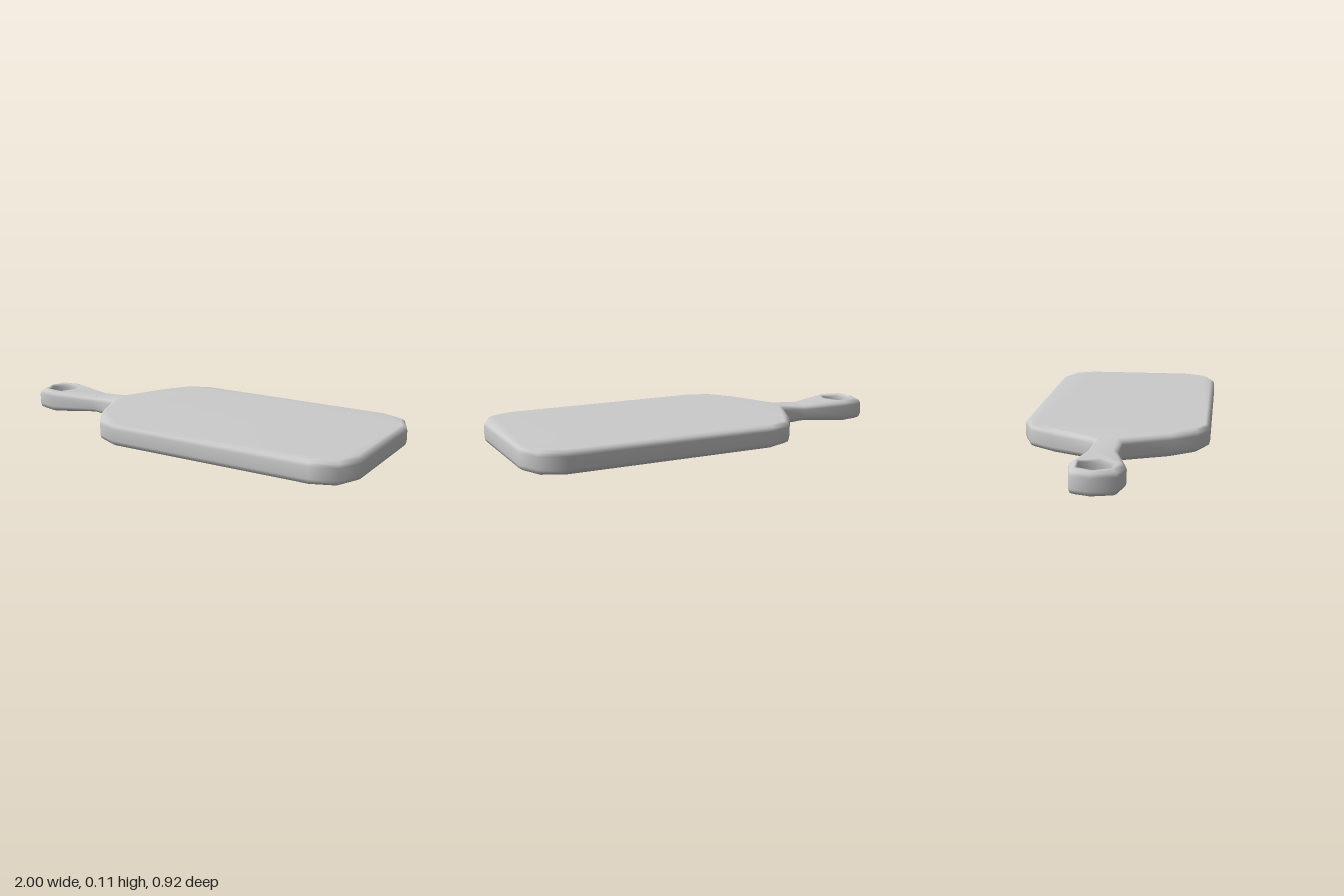
import * as THREE from 'three';

// Board outline seen from above as [x, z], clockwise, starting at the back of the neck
const OUTLINE = [
  [-0.5, -0.06], [-0.4, -0.28], [-0.32, -0.4], [-0.2, -0.45], [0.82, -0.46], [0.94, -0.41], [0.99, -0.3],
  [1, 0.27], [0.95, 0.39], [0.83, 0.44], [-0.2, 0.455], [-0.31, 0.405], [-0.4, 0.285], [-0.5, 0.07],
  [-0.63, 0.07], [-0.86, 0.135], [-0.97, 0.11], [-1, 0], [-0.975, -0.09], [-0.86, -0.112], [-0.63, -0.07],
];
// Hanging hole, listed the other way round
const HOLE = [[-0.96, 0.01], [-0.93, 0.075], [-0.84, 0.083], [-0.81, 0.01], [-0.84, -0.07], [-0.93, -0.06]];
// Rounded edge as [inset, height]
const EDGE = [[0.024, 0], [0.006, 0.01], [0, 0.028], [0, 0.083], [0.006, 0.1], [0.024, 0.11]];
const MID = 0.055;

// The handle is thinnest halfway along
const thickness = (x) => 1 - 0.27 * Math.max(0, 1 - Math.abs(x + 0.63) / 0.17);

// Moves every corner into the wood by the same distance from its two edges
function inset(points, amount) {
  const n = points.length;
  return points.map((p, i) => {
    const here = new THREE.Vector2(...p);
    const a = here.clone().sub(new THREE.Vector2(...points[(i + n - 1) % n])).normalize();
    const b = new THREE.Vector2(...points[(i + 1) % n]).sub(here).normalize();
    const m = new THREE.Vector2(-a.y - b.y, a.x + b.x);
    return here.addScaledVector(m, amount / (1 + a.dot(b)));
  });
}

function boardGeometry() {
  const positions = [];
  const index = [];

  // Stacked rings joined into a wall; returns the first index of each ring
  function wall(points, insetScale) {
    const n = points.length;
    const starts = EDGE.map(([d, y]) => {
      const start = positions.length / 3;
      for (const p of inset(points, d * insetScale)) {
        positions.push(p.x, MID + (y - MID) * thickness(p.x), p.y);
      }
      return start;
    });
    for (let r = 0; r < starts.length - 1; r++) {
      for (let i = 0; i < n; i++) {
        const j = (i + 1) % n;
        const a = starts[r] + i, b = starts[r] + j;
        const c = starts[r + 1] + j, d = starts[r + 1] + i;
        index.push(a, c, b, a, d, c);
      }
    }
    return starts;
  }

  // Fills one region of the top or bottom face
  function cap(contour, hole, up) {
    const point = (k) => new THREE.Vector2(positions[3 * k], positions[3 * k + 2]);
    const ids = [...contour, ...hole];
    const faces = THREE.ShapeUtils.triangulateShape(contour.map(point), hole.length ? [hole.map(point)] : []);
    for (const face of faces) {
      const [a, b, c] = face.map((f) => ids[f]);
      const [pa, pb, pc] = [a, b, c].map(point);
      const facesUp = pb.sub(pa).cross(pc.sub(pa)) < 0;
      if (facesUp === up) index.push(a, b, c);
      else index.push(a, c, b);
    }
  }

  const outer = wall(OUTLINE, 1);
  const inner = wall(HOLE, 0.3);
  const range = (from, to) => Array.from({ length: to - from + 1 }, (_, i) => from + i);
  for (const ring of [0, EDGE.length - 1]) {
    const up = ring > 0;
    const o = (list) => list.map((i) => outer[ring] + i);
    cap(o(range(0, 13)), [], up); // blade of the board
    cap(o([20, 0, 13, 14]), [], up); // neck
    cap(o(range(14, 20)), HOLE.map((_, i) => inner[ring] + i), up); // handle end
  }

  const geometry = new THREE.BufferGeometry();
  geometry.setAttribute('position', new THREE.Float32BufferAttribute(positions, 3));
  geometry.setIndex(index);
  geometry.computeVertexNormals();
  return geometry;
}

export function createModel() {
  const group = new THREE.Group();
  group.name = 'cuttingBoard';
  const board = new THREE.Mesh(boardGeometry(), new THREE.MeshStandardMaterial({ color: 0xcccccc }));
  board.name = 'boardWithHandle';
  group.add(board);
  return group;
}
